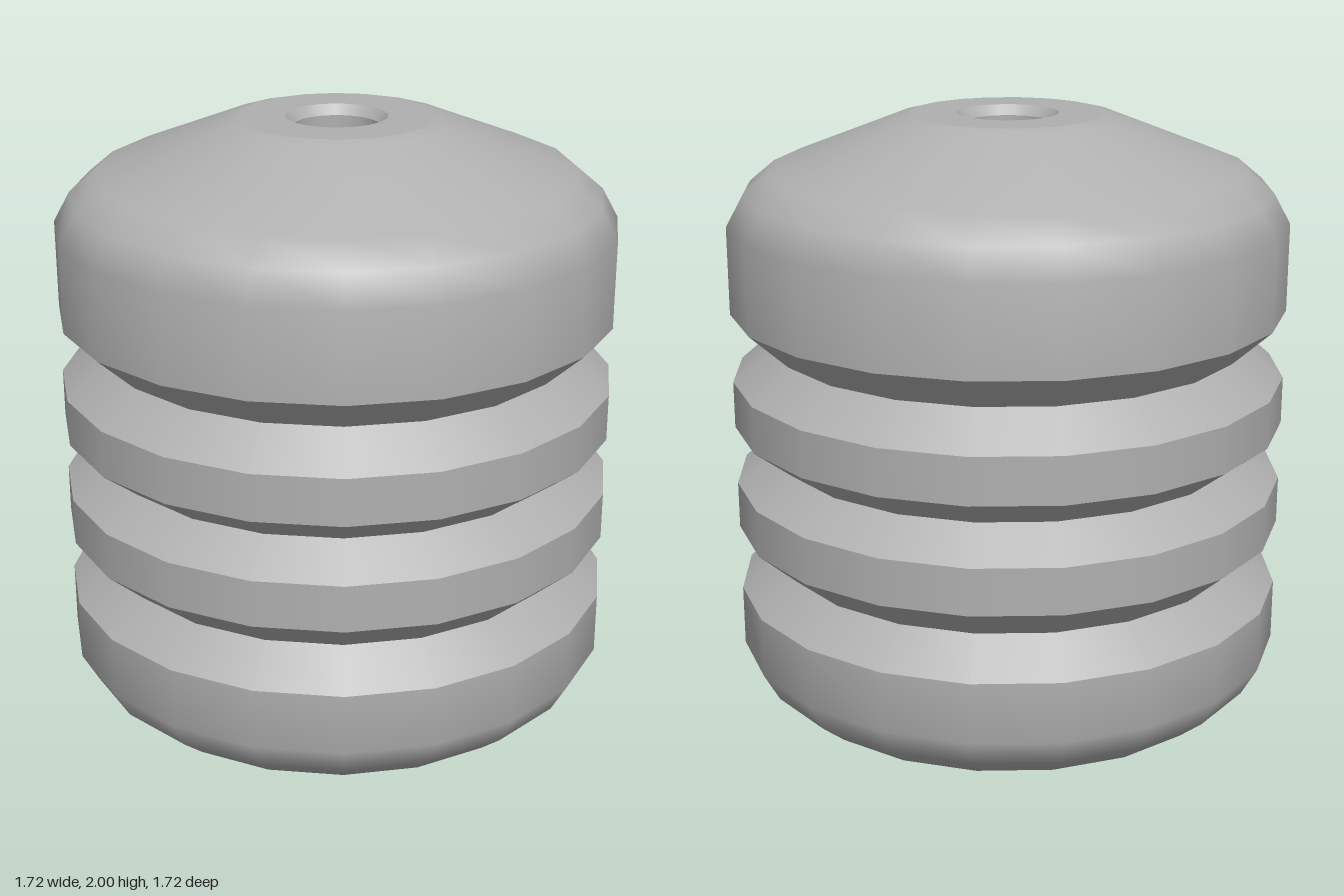
import * as THREE from 'three';

const SIDES = 20;
const R = 0.86;        // outer radius
const GROOVE = 0.74;   // radius at the bottom of each groove

export function createModel() {
  const model = new THREE.Group();
  model.name = 'groovedBead';
  const grey = new THREE.MeshStandardMaterial({ color: 0xb0b0b0 });
  grey.name = 'grey';

  // Turned surface from [radius, height] pairs; smooth within, sharp at its ends
  const turned = (name, profile) => {
    const points = profile.map(([r, y]) => new THREE.Vector2(r, y));
    const mesh = new THREE.Mesh(new THREE.LatheGeometry(points, SIDES), grey);
    mesh.name = name;
    model.add(mesh);
  };

  // Rounded shoulder, from the straight wall to the flat rim
  const shoulder = [[R, 1.68], [0.81, 1.77], [0.73, 1.837], [0.34, 1.99], [0.3, 2]];
  const flip = (profile) => profile.map(([r, y]) => [r, 2 - y]).reverse();

  // Rounded ends with flat rims and chamfered hole edges
  const upper = [[R, 1.41], ...shoulder];
  const rim = [[0.3, 2], [0.155, 2]];
  const chamfer = [[0.155, 2], [0.13, 1.97]];
  turned('topCap', upper);
  turned('topRim', rim);
  turned('topHoleEdge', chamfer);
  turned('bottomCap', [...flip(shoulder), [R, 0.51]]);
  turned('bottomRim', flip(rim));
  turned('bottomHoleEdge', flip(chamfer));

  // V-shaped grooves: lower lip, bottom, upper lip
  const grooves = [[0.51, 0.613, 0.72], [0.865, 0.957, 1.05], [1.195, 1.3, 1.41]];
  grooves.forEach(([low, mid, high], i) => {
    turned('grooveLowerFace', [[R, low], [GROOVE, mid]]);
    turned('grooveUpperFace', [[GROOVE, mid], [R, high]]);
    // Straight band up to the next groove
    if (i < grooves.length - 1) turned('band', [[R, high], [R, grooves[i + 1][0]]]);
  });

  // Hole through the middle
  turned('bore', [[0.13, 1.97], [0.13, 0.03]]);
  return model;
}
